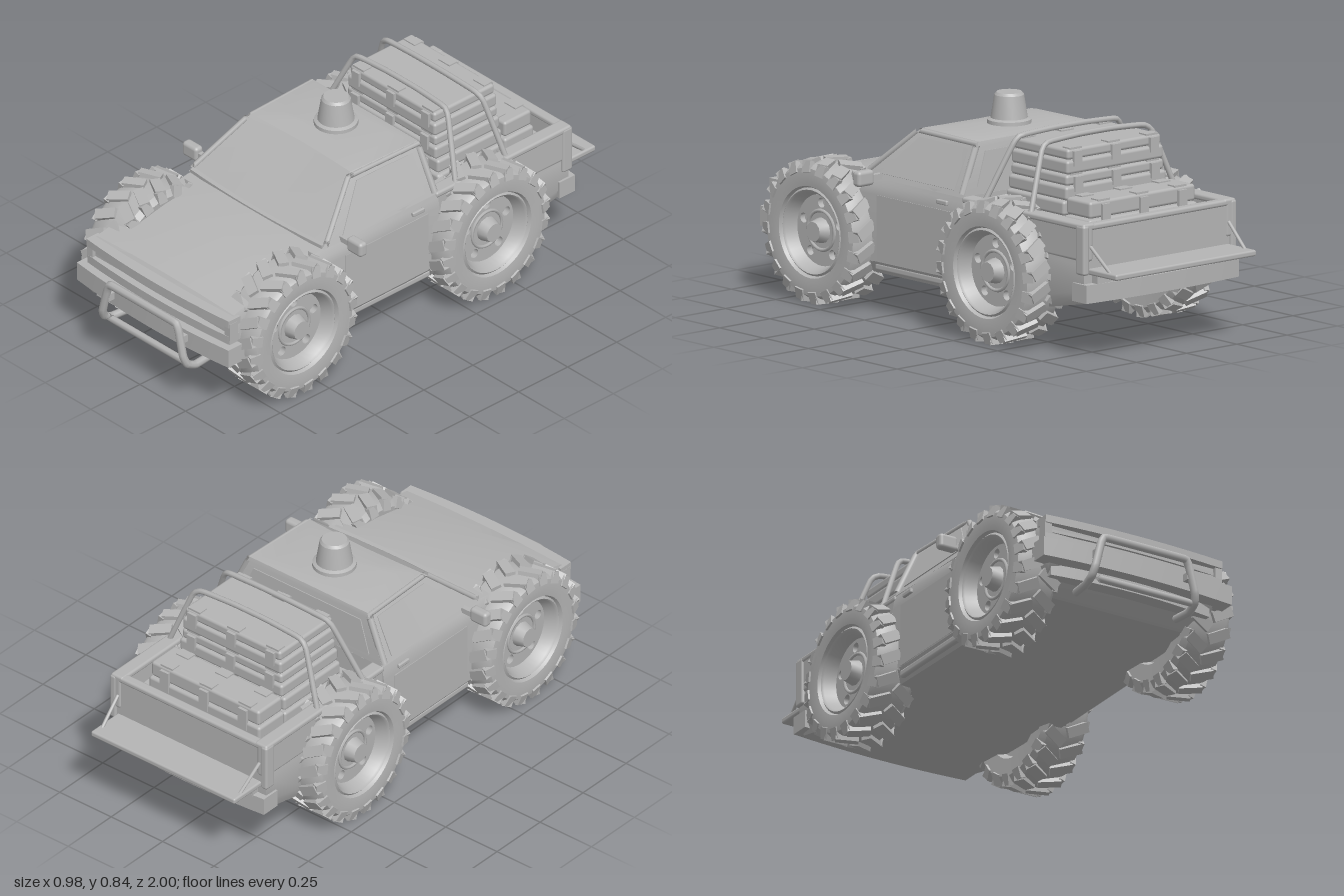
import * as THREE from 'three';
import { mergeGeometries, toCreasedNormals } from 'three/addons/utils/BufferGeometryUtils.js';
import { RoundedBoxGeometry } from 'three/addons/geometries/RoundedBoxGeometry.js';

const grey = new THREE.MeshStandardMaterial({ color: 0xb4b4b4 });
grey.name = 'clay grey';

function add(parent, name, geo, x = 0, y = 0, z = 0) {
  const m = new THREE.Mesh(geo, grey);
  m.name = name;
  m.position.set(x, y, z);
  parent.add(m);
  return m;
}

// Skin closed rings (counter-clockwise seen from the first end) and cap both ends
function loft(rings, crease = 0.5) {
  const pos = [], n = rings[0].length, last = rings.length - 1;
  const tri = (a, b, c) => pos.push(...a, ...b, ...c);
  const mid = (r) => [0, 1, 2].map((k) => r.reduce((s, p) => s + p[k], 0) / n);
  for (let j = 0; j < n; j++) {
    const k = (j + 1) % n;
    for (let i = 0; i < last; i++) {
      const a = rings[i][j], b = rings[i][k], c = rings[i + 1][k], d = rings[i + 1][j];
      tri(a, d, b);
      tri(b, d, c);
    }
    tri(mid(rings[0]), rings[0][j], rings[0][k]);
    tri(mid(rings[last]), rings[last][k], rings[last][j]);
  }
  const g = new THREE.BufferGeometry();
  g.setAttribute('position', new THREE.Float32BufferAttribute(pos, 3));
  g.computeVertexNormals();
  return toCreasedNormals(g, crease);
}

// Body cross-section: bottom and top height, bottom, side and shoulder half-widths
function bodyRing([z, yb, yt, wb, wm, wt, crown]) {
  const half = [[wb, yb], [wm, yb + 0.05], [wm, yt - 0.06], [wm - 0.006, yt - 0.025], [wt, yt], [wt * 0.5, yt + crown * 0.8]];
  const ring = [...half, [0, yt + crown], ...half.slice().reverse().map(([x, y]) => [-x, y])];
  return ring.map(([x, y]) => [x, y, z]);
}

// Box whose ends sweep backwards
function bowBox(w, h, d, bow) {
  const g = new THREE.BoxGeometry(w, h, d, 12, 1, 1), p = g.attributes.position;
  for (let i = 0; i < p.count; i++) p.setZ(i, p.getZ(i) - bow * (2 * p.getX(i) / w) ** 2);
  return toCreasedNormals(g, 0.5);
}

function tube(points, r, tension = 0.2) {
  const c = new THREE.CatmullRomCurve3(points.map((p) => new THREE.Vector3(...p)), false, 'catmullrom', tension);
  return new THREE.TubeGeometry(c, points.length * 6, r, 8);
}

const mirrorPath = (half) => [...half, ...half.slice().reverse().map(([x, y, z]) => [-x, y, z])];

// Thin plate with corners given counter-clockwise from outside
function plate(corners, t = 0.005) {
  const v = corners.map((c) => new THREE.Vector3(...c));
  const n = v[1].clone().sub(v[0]).cross(v[2].clone().sub(v[0])).normalize().multiplyScalar(t);
  return loft([v.map((p) => p.clone().add(n).toArray()), corners], 0.1);
}

function wheelGeometries() {
  const profile = [[0, -0.05], [0.15, -0.06], [0.165, -0.085], [0.235, -0.09], [0.256, -0.07], [0.26, 0], [0.256, 0.07],
    [0.243, 0.088], [0.21, 0.092], [0.175, 0.088], [0.168, 0.075], [0.16, 0.082], [0.152, 0.075], [0.138, 0.03], [0.128, 0], [0, -0.01]];
  const tyre = toCreasedNormals(
    new THREE.LatheGeometry(profile.map((p) => new THREE.Vector2(...p)), 40).rotateZ(-Math.PI / 2), 0.6);
  // Staggered chevron lugs with shoulder blocks
  const lugs = [], count = 20;
  for (let i = 0; i < count; i++) for (const s of [-1, 1]) {
    const t = (i + (s > 0 ? 0.5 : 0)) / count * Math.PI * 2;
    lugs.push(new THREE.BoxGeometry(0.088, 0.03, 0.04).rotateY(s * 0.5).translate(s * 0.042, 0.258, 0).rotateX(t));
    lugs.push(new THREE.BoxGeometry(0.022, 0.045, 0.042).rotateZ(s * 0.3).translate(s * 0.08, 0.245, -0.02).rotateX(t));
  }
  // Disc with five round holes
  const disc = new THREE.Shape().absarc(0, 0, 0.136, 0, Math.PI * 2);
  for (let i = 0; i < 5; i++) {
    const a = Math.PI / 2 + i * Math.PI * 0.4;
    disc.holes.push(new THREE.Path().absarc(Math.cos(a) * 0.105, Math.sin(a) * 0.105, 0.019, 0, Math.PI * 2, true));
  }
  const rim = new THREE.ExtrudeGeometry(disc, { depth: 0.025, bevelEnabled: false, curveSegments: 20 })
    .rotateY(Math.PI / 2).translate(0.005, 0, 0);
  const ring = new THREE.TorusGeometry(0.075, 0.007, 6, 28).rotateY(Math.PI / 2).translate(0.031, 0, 0);
  const hub = toCreasedNormals(new THREE.CylinderGeometry(0.038, 0.05, 0.045, 12).rotateZ(-Math.PI / 2).translate(0.05, 0, 0), 0.6);
  return { tyre, treadLugs: mergeGeometries(lugs), rimDisc: rim, rimRing: ring, hub };
}

// Two-part case with latches front and back
function addCase(parent, name, w, h, d, y, z) {
  const g = new THREE.Group();
  g.name = name;
  g.position.set(0, y, z);
  parent.add(g);
  add(g, 'caseBase', new RoundedBoxGeometry(w, h * 0.55, d, 2, 0.012), 0, h * 0.275, 0);
  add(g, 'caseLid', new RoundedBoxGeometry(w - 0.015, h * 0.43, d - 0.012, 2, 0.012), 0, h * 0.785, 0);
  for (const s of [-1, 1]) for (const x of [-0.19, 0, 0.19]) {
    add(g, 'latch', new THREE.BoxGeometry(0.04, h * 0.6, 0.012), x, h * 0.62, s * d / 2);
    add(g, 'latchTop', new THREE.BoxGeometry(0.06, 0.008, 0.04), x, h + 0.001, s * (d / 2 - 0.03));
  }
}

export function createModel() {
  const car = new THREE.Group();
  car.name = 'pickupTruck';

  // Bonnet, doors and floor
  add(car, 'frontBody', loft([
    [0.89, 0.25, 0.41, 0.36, 0.385, 0.375, 0.008], [0.87, 0.22, 0.43, 0.355, 0.388, 0.375, 0.01],
    [0.79, 0.155, 0.45, 0.345, 0.388, 0.37, 0.014], [0.6, 0.15, 0.487, 0.345, 0.385, 0.36, 0.014],
    [0.42, 0.15, 0.512, 0.35, 0.385, 0.362, 0.012], [0, 0.152, 0.525, 0.355, 0.385, 0.37, 0],
    [-0.17, 0.155, 0.52, 0.355, 0.383, 0.37, 0]].map(bodyRing)));

  // Load bed
  add(car, 'bedFloor', loft([[-0.17, 0.155, 0.43, 0.355, 0.375, 0.37, 0], [-0.62, 0.17, 0.43, 0.35, 0.375, 0.37, 0],
    [-0.84, 0.215, 0.42, 0.35, 0.37, 0.365, 0]].map(bodyRing)));
  for (const s of [-1, 1]) {
    add(car, 'bedSide', new RoundedBoxGeometry(0.045, 0.14, 0.69, 2, 0.012), s * 0.353, 0.445, -0.505);
    add(car, 'bedRail', new RoundedBoxGeometry(0.06, 0.025, 0.69, 2, 0.01), s * 0.35, 0.508, -0.505);
    add(car, 'bedCorner', new RoundedBoxGeometry(0.03, 0.19, 0.05, 2, 0.01), s * 0.367, 0.42, -0.828);
    add(car, 'tailgateStay', tube([[s * 0.345, 0.44, -0.84], [s * 0.335, 0.345, -0.95]], 0.007));
  }
  add(car, 'rearRim', new RoundedBoxGeometry(0.74, 0.025, 0.04, 2, 0.01), 0, 0.506, -0.83);
  add(car, 'rearPanel', new THREE.BoxGeometry(0.7, 0.17, 0.02), 0, 0.42, -0.835);
  add(car, 'tailgate', new RoundedBoxGeometry(0.7, 0.024, 0.165, 2, 0.008), 0, 0.337, -0.9175);
  add(car, 'tailgateHinge', new THREE.BoxGeometry(0.66, 0.05, 0.04), 0, 0.31, -0.85);
  add(car, 'rearBumper', bowBox(0.76, 0.07, 0.08, -0.02), 0, 0.257, -0.845);

  // Cab
  const cabRing = ([y, zf, zb, wf, wb, bow]) => [
    [0, y, zf + bow], [-wf * 0.6, y, zf + bow * 0.65], [-wf, y, zf - 0.005], [-wb, y, zb], [wb, y, zb],
    [wf, y, zf - 0.005], [wf * 0.6, y, zf + bow * 0.65]].reverse();
  add(car, 'cab', loft([[0.728, 0.1, -0.1, 0.2, 0.2, 0], [0.716, 0.185, -0.15, 0.27, 0.285, -0.015],
    [0.7, 0.205, -0.155, 0.282, 0.295, -0.015], [0.515, 0.41, -0.17, 0.37, 0.375, 0.012]].map(cabRing), 0.4));
  for (const s of [-1, 1]) {
    add(car, 'windscreenPillar', tube([[s * 0.367, 0.525, 0.395], [s * 0.279, 0.702, 0.2]], 0.011));
    add(car, 'roofEdge', tube([[s * 0.279, 0.705, 0.2], [s * 0.29, 0.706, -0.15]], 0.01));
    add(car, 'rearPillar', tube([[s * 0.29, 0.706, -0.145], [s * 0.372, 0.525, -0.155]], 0.014));
    const pane = [[0.3675, 0.535, 0.31], [0.3675, 0.535, -0.11], [0.298, 0.685, -0.11], [0.2935, 0.685, 0.17]]
      .map(([x, y, z]) => [s * x, y, z]);
    add(car, 'sideWindow', plate(s > 0 ? pane : pane.reverse(), 0.004));
    add(car, 'doorPanel', new THREE.BoxGeometry(0.008, 0.25, 0.42), s * 0.383, 0.33, 0.1);
    add(car, 'doorHandle', new RoundedBoxGeometry(0.014, 0.018, 0.06, 2, 0.005), s * 0.386, 0.485, -0.06);
    add(car, 'sill', new RoundedBoxGeometry(0.03, 0.03, 0.46, 2, 0.01), s * 0.365, 0.18, 0.1);
    // Door mirror
    add(car, 'mirrorArm', new THREE.BoxGeometry(0.07, 0.022, 0.022), s * 0.4, 0.525, 0.31);
    add(car, 'mirror', new RoundedBoxGeometry(0.08, 0.06, 0.04, 3, 0.014), s * 0.45, 0.528, 0.312);
  }
  add(car, 'rearWindow', plate([[0.31, 0.55, -0.168], [-0.31, 0.55, -0.168], [-0.26, 0.68, -0.157], [0.26, 0.68, -0.157]], 0.004));
  add(car, 'windscreenBase', bowBox(0.72, 0.014, 0.02, 0.016), 0, 0.523, 0.415);

  // Roof beacon
  const beacon = [[0, 0.71], [0.085, 0.71], [0.083, 0.742], [0.07, 0.748], [0.056, 0.835], [0.048, 0.845], [0, 0.845]];
  add(car, 'roofBeacon', toCreasedNormals(new THREE.LatheGeometry(beacon.map((p) => new THREE.Vector2(...p)), 24), 0.5));

  // Nose, grille and front bumper
  add(car, 'bonnetLip', bowBox(0.78, 0.03, 0.06, 0.02), 0, 0.412, 0.9);
  add(car, 'grilleSurround', bowBox(0.78, 0.038, 0.05, 0.02), 0, 0.336, 0.9);
  add(car, 'grilleSlat', bowBox(0.72, 0.012, 0.03, 0.018), 0, 0.375, 0.895);
  for (const s of [-1, 1]) add(car, 'grilleEnd', new THREE.BoxGeometry(0.03, 0.07, 0.04), s * 0.376, 0.375, 0.885);
  add(car, 'frontBumper', bowBox(0.83, 0.076, 0.09, 0.025), 0, 0.283, 0.915);
  add(car, 'bumperValance', bowBox(0.7, 0.05, 0.06, 0.03), 0, 0.225, 0.88);

  // Bull bar
  add(car, 'bullBar', tube(mirrorPath([[0.22, 0.17, 0.85], [0.228, 0.17, 0.93], [0.227, 0.19, 0.97], [0.22, 0.225, 0.984],
    [0.195, 0.325, 0.984], [0.185, 0.347, 0.984], [0.165, 0.355, 0.984]]), 0.016));
  add(car, 'bullBarLower', tube([[-0.22, 0.19, 0.965], [0.22, 0.19, 0.965]], 0.014));
  for (const s of [-1, 1]) add(car, 'bullBarBracket', new THREE.BoxGeometry(0.025, 0.03, 0.08), s * 0.2, 0.29, 0.945);

  // Cargo and lashing bars
  addCase(car, 'lowerCase', 0.54, 0.13, 0.34, 0.425, -0.44);
  addCase(car, 'middleCase', 0.5, 0.095, 0.33, 0.555, -0.44);
  addCase(car, 'upperCase', 0.48, 0.095, 0.32, 0.652, -0.44);
  addCase(car, 'rearCase', 0.54, 0.15, 0.15, 0.425, -0.685);
  add(car, 'frontLashing', tube(mirrorPath([[0.365, 0.51, -0.27], [0.265, 0.735, -0.325], [0.235, 0.762, -0.332], [0.08, 0.77, -0.335]]), 0.011));
  add(car, 'rearLashing', tube(mirrorPath([[0.36, 0.51, -0.53], [0.275, 0.735, -0.495], [0.235, 0.762, -0.488], [0.08, 0.77, -0.485]]), 0.011));

  // Wheels
  const parts = wheelGeometries();
  for (const z of [0.595, -0.387]) for (const s of [-1, 1]) {
    const wheel = new THREE.Group();
    wheel.name = z > 0 ? 'frontWheel' : 'rearWheel';
    wheel.position.set(s * 0.379, 0.279, z);
    wheel.rotation.y = s > 0 ? 0 : Math.PI;
    for (const [name, geo] of Object.entries(parts)) add(wheel, name, geo);
    car.add(wheel);
  }
  return car;
}
